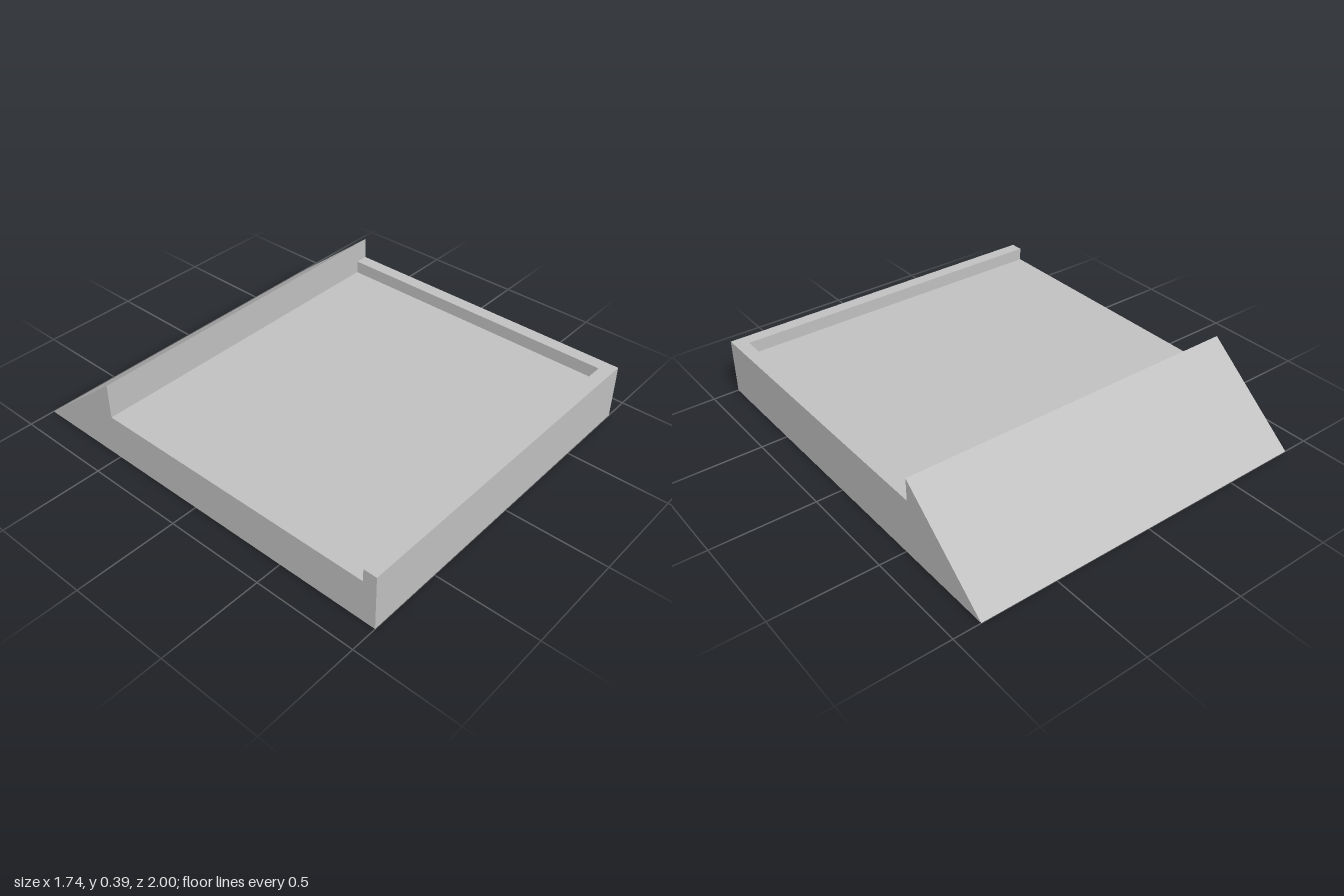
import * as THREE from 'three';

const W = 0.87;        // half width
const FRONT = 1, BACK = -1;
const RIDGE_Z = -0.525, RIDGE_Y = 0.39;
const DECK = 0.215;    // deck height
const RIM = 0.28;      // top of the raised rim
const LIP = 0.065;     // rim thickness

export function createModel() {
  const group = new THREE.Group();
  const grey = new THREE.MeshStandardMaterial({ color: 0xc0c0c0, side: THREE.DoubleSide });
  grey.name = 'plain grey';

  const add = (name, geometry) => {
    const mesh = new THREE.Mesh(geometry, grey);
    mesh.name = name;
    group.add(mesh);
    return mesh;
  };

  // Flat four-cornered panel, corners counter-clockwise seen from outside
  const panel = (name, a, b, c, d) => {
    const g = new THREE.BufferGeometry();
    g.setAttribute('position', new THREE.Float32BufferAttribute([...a, ...b, ...c, ...d], 3));
    g.setIndex([0, 1, 2, 0, 2, 3]);
    g.computeVertexNormals();
    return add(name, g);
  };

  // Side wall with its wedge end, drawn in (z, y)
  const sideWall = (name, x, height) => {
    const outline = [[FRONT, 0], [BACK, 0], [RIDGE_Z, RIDGE_Y], [RIDGE_Z, height], [FRONT, height]];
    const g = new THREE.ShapeGeometry(new THREE.Shape(outline.map(([z, y]) => new THREE.Vector2(-z, y))));
    g.rotateY(Math.PI / 2);
    if (x < 0) {
      // turn the faces outward on the other side
      g.scale(-1, 1, 1);
      const index = g.index.array;
      for (let i = 0; i < index.length; i += 3) [index[i], index[i + 1]] = [index[i + 1], index[i]];
      g.computeVertexNormals();
    }
    g.translate(x, 0, 0);
    add(name, g);
  };
  sideWall('leftWall', W, RIM);
  sideWall('rightWall', -W, DECK);

  // Open-bottomed shell: deck, front wall and hollow wedge
  panel('deck', [-W, DECK, FRONT], [W, DECK, FRONT], [W, DECK, RIDGE_Z], [-W, DECK, RIDGE_Z]);
  panel('frontWall', [-W, 0, FRONT], [W, 0, FRONT], [W, RIM, FRONT], [-W, RIM, FRONT]);
  panel('wedgeRiser', [-W, DECK, RIDGE_Z], [W, DECK, RIDGE_Z], [W, RIDGE_Y, RIDGE_Z], [-W, RIDGE_Y, RIDGE_Z]);
  panel('wedgeSlope', [W, 0, BACK], [-W, 0, BACK], [-W, RIDGE_Y, RIDGE_Z], [W, RIDGE_Y, RIDGE_Z]);

  // Raised rim along the front and left edges
  const xi = W - LIP, zi = FRONT - LIP;
  panel('frontRimTop', [-W, RIM, FRONT], [W, RIM, FRONT], [W, RIM, zi], [-W, RIM, zi]);
  panel('frontRimInside', [xi, DECK, zi], [-W, DECK, zi], [-W, RIM, zi], [xi, RIM, zi]);
  panel('frontRimEnd', [-W, DECK, zi], [-W, DECK, FRONT], [-W, RIM, FRONT], [-W, RIM, zi]);
  panel('sideRimTop', [xi, RIM, zi], [W, RIM, zi], [W, RIM, RIDGE_Z], [xi, RIM, RIDGE_Z]);
  panel('sideRimInside', [xi, DECK, RIDGE_Z], [xi, DECK, zi], [xi, RIM, zi], [xi, RIM, RIDGE_Z]);

  return group;
}
